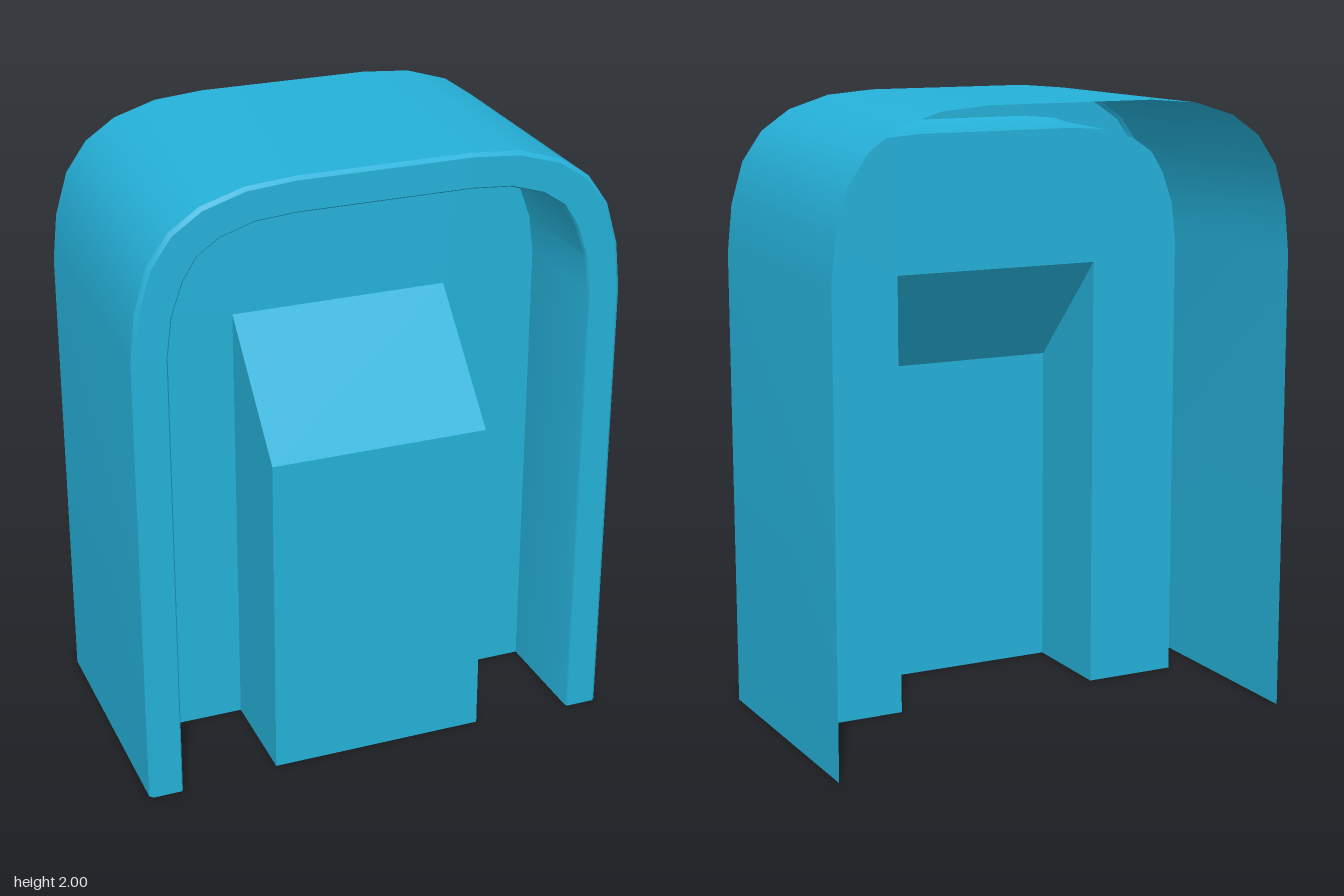
import * as THREE from 'three';
import { toCreasedNormals } from 'three/addons/utils/BufferGeometryUtils.js';

const FRONT = 0.433, BACK = -0.433, PANEL = 0.06;
const BUMP_W = 0.353, BUMP_FRONT = 0.41, BUMP_LOW = 1.08, BUMP_HIGH = 1.44;

// Right half of the arch, from the foot to the flat top
const OUTER = [[0.783, 0], [0.783, 1.5], [0.767, 1.65], [0.727, 1.785], [0.66, 1.88], [0.565, 1.945], [0.43, 1.987], [0.275, 2]];
const INNER = [[0.673, 0], [0.673, 1.5], [0.657, 1.625], [0.62, 1.73], [0.575, 1.8], [0.505, 1.847], [0.4, 1.88], [0.275, 1.89]];

// Full arch from the left foot over the top; t = 0 is the outer wall, 1 the inner wall
function arch(t) {
  const half = OUTER.map(([x, y], i) => [x + (INNER[i][0] - x) * t, y + (INNER[i][1] - y) * t]);
  return [...half.map(([x, y]) => [-x, y]), ...half.reverse()];
}

// Join arch sections, each given as [inset, z]
function loft(sections) {
  const pos = [], idx = [], n = OUTER.length * 2;
  for (const [t, z] of sections) for (const [x, y] of arch(t)) pos.push(x, y, z);
  for (let i = 0; i < sections.length - 1; i++) {
    for (let j = 0; j < n - 1; j++) {
      const a = i * n + j, b = a + 1, c = a + n, d = c + 1;
      idx.push(a, c, b, b, c, d);
    }
  }
  const g = new THREE.BufferGeometry();
  g.setAttribute('position', new THREE.Float32BufferAttribute(pos, 3));
  g.setIndex(idx);
  return toCreasedNormals(g, 0.6);
}

// Flat faces from lists of corners, counter-clockwise seen from outside
function faces(list) {
  const pos = [];
  for (const f of list) {
    for (let i = 1; i < f.length - 1; i++) pos.push(...f[0], ...f[i], ...f[i + 1]);
  }
  const g = new THREE.BufferGeometry();
  g.setAttribute('position', new THREE.Float32BufferAttribute(pos, 3));
  g.computeVertexNormals();
  return g;
}

export function createModel() {
  const group = new THREE.Group();
  const material = new THREE.MeshStandardMaterial({ color: 0x25b0d8, side: THREE.DoubleSide });
  const add = (name, geometry) => {
    const mesh = new THREE.Mesh(geometry, material);
    mesh.name = name;
    group.add(mesh);
    return mesh;
  };

  // Thin arched shell: outer wall, bevelled front rim, inner wall back to the panel
  add('archedShell', loft([
    [0, BACK], [0, FRONT - 0.012], [0.1, FRONT],
    [0.95, FRONT], [1, FRONT - 0.008], [1.08, PANEL],
  ]));

  // Recessed panel, cut away behind the hollow bump
  const outline = arch(1.08).map(([x, y]) => new THREE.Vector2(x, y));
  const notch = [[BUMP_W, 0], [BUMP_W, BUMP_HIGH], [-BUMP_W, BUMP_HIGH], [-BUMP_W, 0]]
    .map(([x, y]) => new THREE.Vector2(x, y));
  add('recessedPanel', new THREE.ShapeGeometry(new THREE.Shape([...outline, ...notch]))).position.z = PANEL;

  // Hollow bump with a sloped top, open at the back and bottom
  const side = (x) => [[x, 0, PANEL], [x, 0, BUMP_FRONT], [x, BUMP_LOW, BUMP_FRONT], [x, BUMP_HIGH, PANEL]];
  const l = side(-BUMP_W), r = side(BUMP_W);
  add('slopedBump', faces([
    l,
    [...r].reverse(),
    [l[1], r[1], r[2], l[2]],
    [l[2], r[2], r[3], l[3]],
  ]));

  return group;
}
